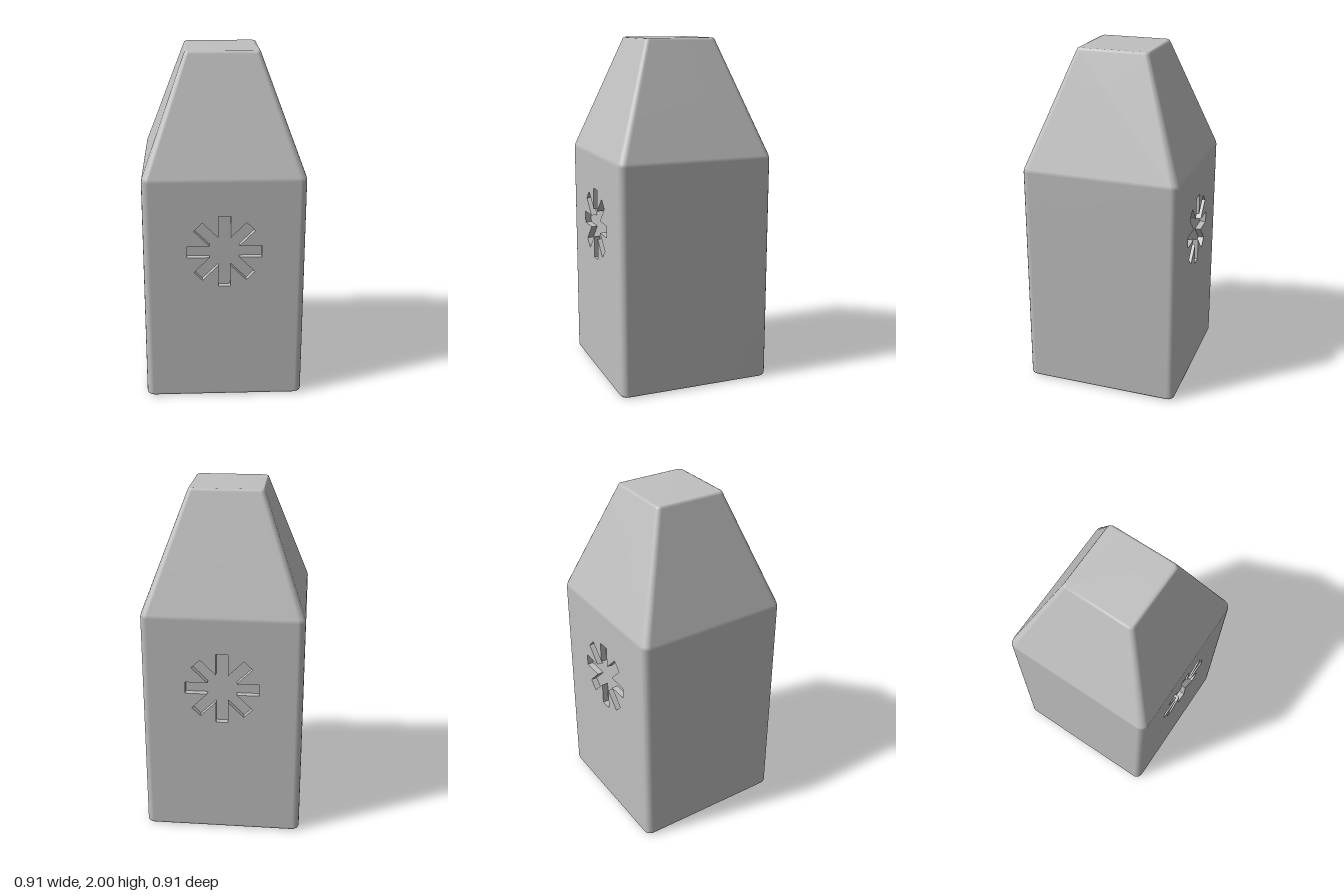
import * as THREE from 'three';

const H = 0.457;      // half width of the body
const R = 0.04;       // radius of the upright edges
const DEPTH = 0.035;  // depth of the recesses
const SEG = 4;        // segments in each rounded corner
const N = 4 * (SEG + 1);

// Cross-sections from bottom to top: half width, height, corner radius
const SECTIONS = [
  [0.437, 0, 0.025], [0.446, 0.003, 0.032], [0.454, 0.01, 0.038], [H, 0.02, R],
  [H, 1.325, R], [0.453, 1.345, R],
  [0.214, 1.985, 0.025], [0.209, 1.996, 0.022], [0.199, 2, 0.015],
];
const WALL = 3; // the tall straight span starts at this section

// Rounded square, corner by corner, in x and z
function ring(half, r) {
  const points = [];
  for (let k = 0; k < 4; k++) {
    const cx = (half - r) * (k === 0 || k === 3 ? 1 : -1);
    const cz = (half - r) * (k < 2 ? 1 : -1);
    for (let i = 0; i <= SEG; i++) {
      const a = (k + i / SEG) * Math.PI / 2;
      points.push(new THREE.Vector2(cx + r * Math.cos(a), cz + r * Math.sin(a)));
    }
  }
  return points;
}

// Lofted shell; the panels with recesses are left open
function shellGeometry() {
  const positions = [], kept = [], open = [];
  for (const [half, y, r] of SECTIONS) {
    for (const p of ring(half, r)) positions.push(p.x, y, p.y);
  }
  for (let j = 0; j < SECTIONS.length - 1; j++) {
    for (let i = 0; i < N; i++) {
      const a = j * N + i, b = j * N + (i + 1) % N, c = b + N, d = a + N;
      const isPanel = j === WALL && (i === SEG || i === 3 * SEG + 2);
      (isPanel ? open : kept).push(a, d, c, a, c, b);
    }
  }
  const top = (SECTIONS.length - 1) * N;
  for (let i = 1; i < N - 1; i++) {
    kept.push(top, top + i + 1, top + i);
    open.push(0, i, i + 1);
  }
  const geometry = new THREE.BufferGeometry();
  geometry.setAttribute('position', new THREE.Float32BufferAttribute(positions, 3));
  // Normals use the closed shape so edges blend into the panels
  geometry.setIndex([...kept, ...open]);
  geometry.computeVertexNormals();
  geometry.setIndex(kept);
  return geometry;
}

// Eight-armed star outline
function starPoints(cx, cy, length, halfWidth) {
  const points = [], inner = halfWidth / Math.sin(Math.PI / 8);
  const centre = new THREE.Vector2();
  for (let k = 0; k < 8; k++) {
    const a = k * Math.PI / 4;
    for (const side of [-halfWidth, halfWidth]) {
      points.push(new THREE.Vector2(length, side).rotateAround(centre, a));
    }
    points.push(new THREE.Vector2(inner, 0).rotateAround(centre, a + Math.PI / 8));
  }
  return points.map((p) => p.add(new THREE.Vector2(cx, cy)));
}

const toPoints = (pairs) => pairs.map(([x, y]) => new THREE.Vector2(x, y));

// Panel facing +z with sunken shapes
function recessedPanel(name, outline, cuts, material) {
  const group = new THREE.Group();
  group.name = name;
  const shape = new THREE.Shape(outline);
  shape.holes = cuts.map((c) => new THREE.Path(c));
  const plate = new THREE.ExtrudeGeometry(shape, { depth: DEPTH, bevelEnabled: false });
  plate.translate(0, 0, -DEPTH);
  const plateMesh = new THREE.Mesh(plate, material);
  plateMesh.name = name + 'Plate';
  const floor = new THREE.ShapeGeometry(cuts.map((c) => new THREE.Shape(c)));
  floor.translate(0, 0, -DEPTH);
  const floorMesh = new THREE.Mesh(floor, material);
  floorMesh.name = name + 'RecessFloor';
  group.add(plateMesh, floorMesh);
  return group;
}

export function createModel() {
  const model = new THREE.Group();
  model.name = 'taperedBlock';
  const grey = new THREE.MeshStandardMaterial({ color: 0xc0c0c0 });
  grey.name = 'grey';

  const shell = new THREE.Mesh(shellGeometry(), grey);
  shell.name = 'bodyShell';
  model.add(shell);

  // Front and back panels with a sunken star
  const w = H - R, y0 = SECTIONS[WALL][1], y1 = SECTIONS[WALL + 1][1];
  const wall = toPoints([[-w, y0], [w, y0], [w, y1], [-w, y1]]);
  for (const [name, turn] of [['frontPanel', 0], ['backPanel', Math.PI]]) {
    const panel = recessedPanel(name, wall, [starPoints(0, 0.92, 0.21, 0.0345)], grey);
    panel.rotation.y = turn;
    panel.position.z = turn ? -H : H;
    model.add(panel);
  }

  // Underside with two sunken chevrons and a bar
  const chevron = (x) => toPoints([
    [x, 0], [x + 0.175, -0.18], [x + 0.275, -0.18],
    [x + 0.105, 0], [x + 0.275, 0.18], [x + 0.175, 0.18],
  ]);
  const bar = toPoints([[-0.3, -0.18], [-0.22, -0.18], [-0.22, 0.18], [-0.3, 0.18]]);
  const base = recessedPanel('basePanel', ring(SECTIONS[0][0], SECTIONS[0][2]),
    [chevron(0.02), chevron(-0.19), bar], grey);
  base.rotation.x = Math.PI / 2;
  model.add(base);

  return model;
}
